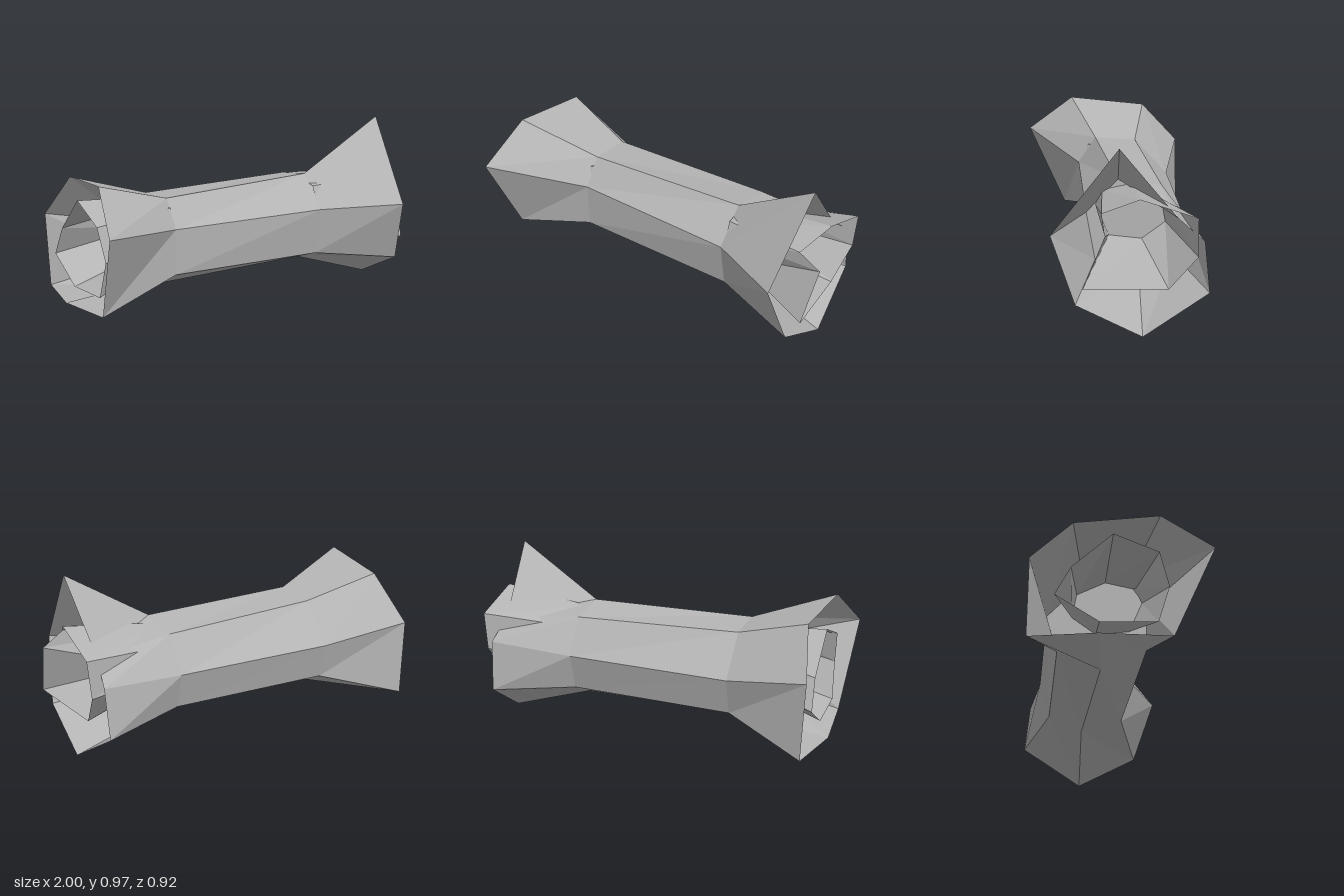
import * as THREE from 'three';

// Flat-shaded skin between two seven-point rings; ring a lies nearer -x than ring b.
function loft(a, b) {
  const pos = [];
  for (let i = 0; i < a.length; i++) {
    const j = (i + 1) % a.length;
    pos.push(...a[i], ...a[j], ...b[i], ...a[j], ...b[j], ...b[i]);
  }
  return toGeometry(pos);
}

// Fan that closes a ring; facing is +1 for the +x side and -1 for the -x side.
function cap(ring, facing) {
  const pos = [];
  for (let i = 1; i < ring.length - 1; i++) {
    const [p, q] = facing > 0 ? [ring[i], ring[i + 1]] : [ring[i + 1], ring[i]];
    pos.push(...ring[0], ...p, ...q);
  }
  return toGeometry(pos);
}

function toGeometry(pos) {
  const g = new THREE.BufferGeometry();
  g.setAttribute('position', new THREE.Float32BufferAttribute(pos, 3));
  g.computeVertexNormals();
  return g;
}

// Places a [y, z] profile at a constant x.
const at = (x, profile) => profile.map(([y, z]) => [x, y, z]);

export function createModel() {
  const group = new THREE.Group();
  const grey = new THREE.MeshStandardMaterial({ color: 0xb4b4b4 });
  grey.name = 'grey';
  grey.flatShading = true;
  grey.side = THREE.DoubleSide;

  const add = (name, geometry) => {
    const mesh = new THREE.Mesh(geometry, grey);
    mesh.name = name;
    group.add(mesh);
  };

  // Ends of the narrow body
  const waistLeft = at(0.43, [
    [0.68, 0.045], [0.505, 0.213], [0.24, 0.168], [0.163, -0.065],
    [0.25, -0.253], [0.45, -0.31], [0.64, -0.185],
  ]);
  const waistRight = at(-0.485, [
    [0.67, 0.09], [0.52, 0.19], [0.27, 0.185], [0.15, -0.055],
    [0.24, -0.28], [0.44, -0.335], [0.65, -0.145],
  ]);

  // Ragged outer rims
  const rimLeft = [
    [0.9, 0.97, 0.085], [0.85, 0.525, 0.422], [0.9, 0.175, 0.305], [0.92, 0, -0.03],
    [0.89, 0.21, -0.37], [0.9, 0.485, -0.34], [0.87, 0.6, -0.21],
  ];
  const rimRight = [
    [-0.93, 0.815, 0.2], [-1, 0.608, 0.46], [-0.95, 0.138, 0.252], [-0.99, 0.115, -0.12],
    [-0.93, 0.108, -0.46], [-0.95, 0.525, -0.455], [-0.89, 0.77, -0.237],
  ];

  // Smaller layer nested inside each end
  const innerProfile = [
    [0.655, -0.03], [0.625, 0.13], [0.545, 0.165], [0.375, 0.095],
    [0.35, -0.08], [0.44, -0.205], [0.575, -0.18],
  ];
  const innerRimLeft = [
    [0.96, 0.73, -0.01], [0.88, 0.64, 0.17], [1, 0.565, 0.165], [0.965, 0.282, 0.273],
    [0.91, 0.245, -0.16], [0.95, 0.425, -0.3], [0.97, 0.63, -0.295],
  ];
  const innerRimRight = [
    [-0.94, 0.69, -0.04], [-0.94, 0.6, 0.19], [-0.92, 0.42, 0.24], [-0.93, 0.22, 0.18],
    [-0.94, 0.2, -0.11], [-0.95, 0.33, -0.33], [-0.94, 0.49, -0.25],
  ];

  add('body', loft(waistRight, waistLeft));
  add('leftBodyCap', cap(waistLeft, 1));
  add('rightBodyCap', cap(waistRight, -1));
  add('leftFlare', loft(waistLeft, rimLeft));
  add('rightFlare', loft(rimRight, waistRight));
  add('leftInnerFlare', loft(at(0.43, innerProfile), innerRimLeft));
  add('rightInnerFlare', loft(innerRimRight, at(-0.485, innerProfile)));
  return group;
}
